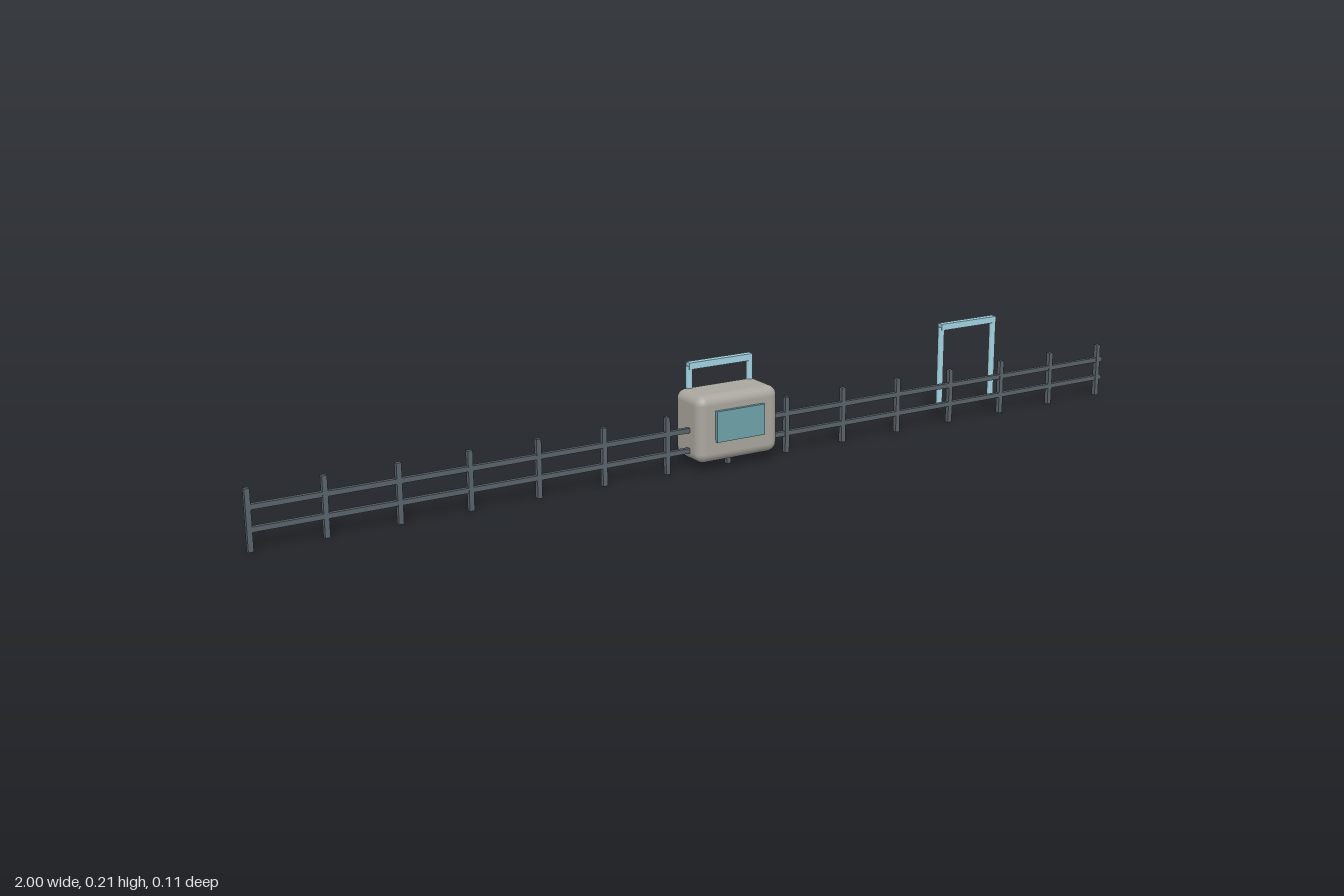
import * as THREE from 'three';
import { RoundedBoxGeometry } from 'three/addons/geometries/RoundedBoxGeometry.js';

const paint = (color) => new THREE.MeshStandardMaterial({ color });

export function createModel() {
  const model = new THREE.Group();
  const iron = paint(0x5a646c), shell = paint(0xaaa69f);
  const glass = paint(0x6fa3aa), pipe = paint(0xa3d3e2);

  function add(parent, name, geometry, material, x, y, z) {
    const mesh = new THREE.Mesh(geometry, material);
    mesh.name = name;
    mesh.position.set(x, y, z);
    parent.add(mesh);
    return mesh;
  }

  // Fence: evenly spaced posts with two long rails
  const fence = new THREE.Group();
  fence.name = 'fence';
  model.add(fence);
  const fenceZ = 0.008;
  const postGeo = new THREE.BoxGeometry(0.01, 0.118, 0.01);
  for (let i = 0; i < 15; i++) {
    add(fence, 'fencePost', postGeo, iron, -0.995 + i * 0.1416, 0.059, fenceZ);
  }
  const railGeo = new THREE.BoxGeometry(2, 0.01, 0.009);
  for (const y of [0.041, 0.083]) add(fence, 'fenceRail', railGeo, iron, 0, y, fenceZ);

  // Rounded cabinet with a raised front panel
  add(model, 'cabinet', new RoundedBoxGeometry(0.19, 0.139, 0.098, 5, 0.02), shell, 0, 0.0875, -0.002);
  add(model, 'frontPanel', new THREE.BoxGeometry(0.112, 0.064, 0.014), glass, 0, 0.094, 0.047);

  // Hoops: two round legs joined by a top bar
  const legGeo = new THREE.CylinderGeometry(0.007, 0.007, 0.182, 16);
  const barGeo = new THREE.BoxGeometry(0.15, 0.014, 0.014);
  for (const x of [0.003, 0.64]) {
    const hoop = new THREE.Group();
    hoop.name = 'hoop';
    hoop.position.set(x, 0, -0.034);
    model.add(hoop);
    for (const side of [-1, 1]) add(hoop, 'hoopLeg', legGeo, pipe, side * 0.0715, 0.112, 0);
    add(hoop, 'hoopBar', barGeo, pipe, 0, 0.203, 0);
  }

  return model;
}
